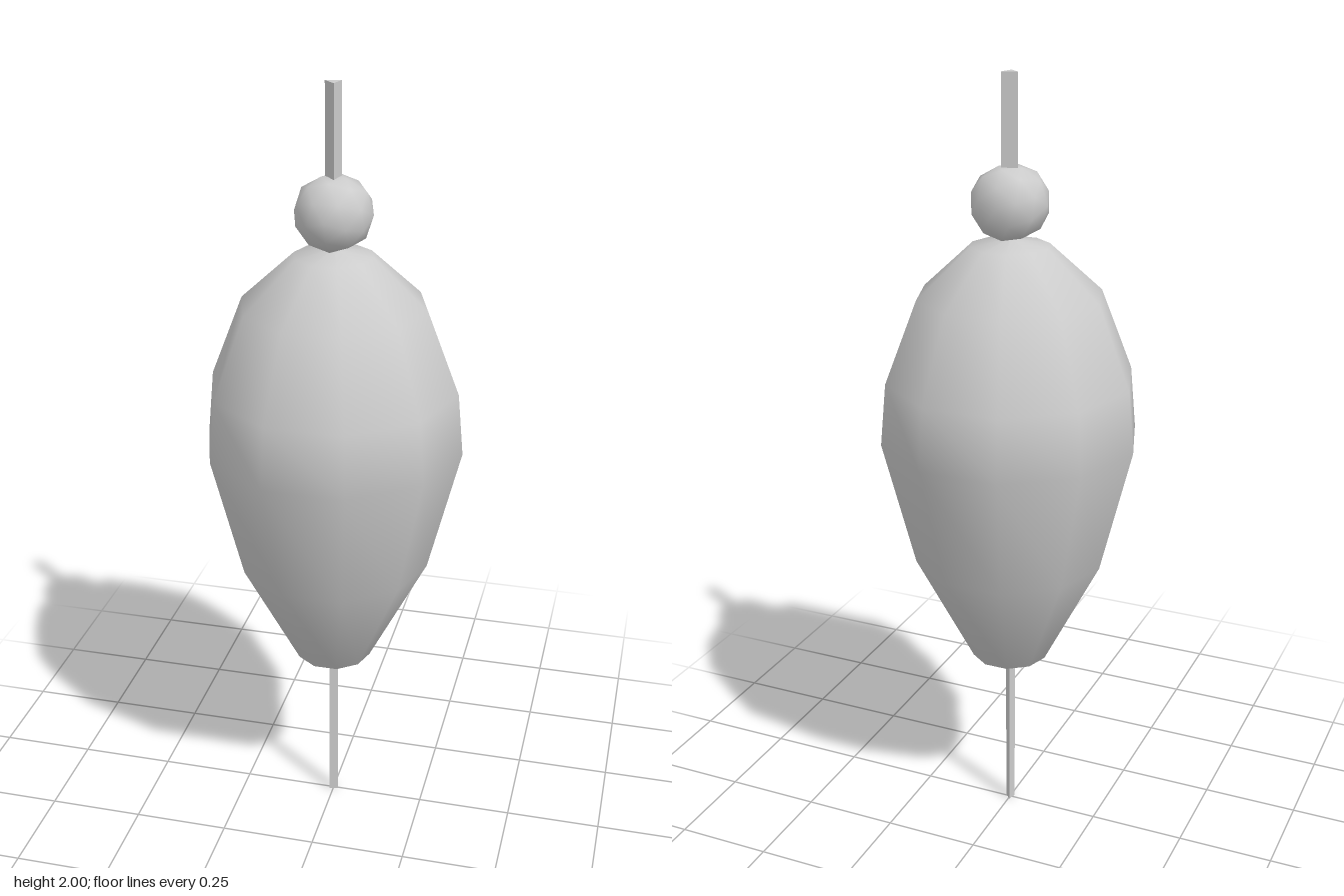
import * as THREE from 'three';
import { mergeVertices } from 'three/addons/utils/BufferGeometryUtils.js';

export function createModel() {
  const model = new THREE.Group();
  const grey = new THREE.MeshStandardMaterial({ color: 0xcccccc });
  grey.name = 'plain grey';

  const add = (name, geometry, x, y, z) => {
    const mesh = new THREE.Mesh(geometry, grey);
    mesh.name = name;
    mesh.position.set(x, y, z);
    model.add(mesh);
  };

  // Three-sided rod with crisp faces
  const rod = (radius, height, turn) =>
    new THREE.CylinderGeometry(radius, radius, height, 3, 1, false, turn).toNonIndexed();
  const flat = (g) => { g.computeVertexNormals(); return g; };

  // Ten-sided float body, smooth shaded, tapering to the bottom
  const profile = [
    [0, 0.425], [0.1, 0.465], [0.25, 0.76], [0.332, 1.09],
    [0.317, 1.25], [0.235, 1.46], [0.1, 1.585], [0, 1.603],
  ].map(([r, y]) => new THREE.Vector2(r, y));
  add('floatBody', new THREE.LatheGeometry(profile, 10, Math.PI / 2), 0, 0, 0);

  // Faceted bead with slightly flattened top, bottom and back
  let bead = new THREE.IcosahedronGeometry(0.098, 1);
  bead.deleteAttribute('uv');
  bead.deleteAttribute('normal');
  bead = mergeVertices(bead, 1e-4);
  bead.rotateX(Math.atan(2 / (1 + Math.sqrt(5))));
  const p = bead.attributes.position;
  for (let i = 0; i < p.count; i++) {
    p.setY(i, THREE.MathUtils.clamp(p.getY(i), -0.086, 0.086));
    p.setZ(i, Math.max(p.getZ(i), -0.084));
  }
  bead.computeVertexNormals();
  add('bead', bead, 0, 1.69, 0);

  // Antenna above and thin stem below
  add('antenna', flat(rod(0.023, 0.25, Math.PI / 12)), -0.001, 1.875, -0.002);
  add('stem', flat(rod(0.0138, 0.44, Math.PI * 5 / 12)), 0, 0.22, 0);

  return model;
}
